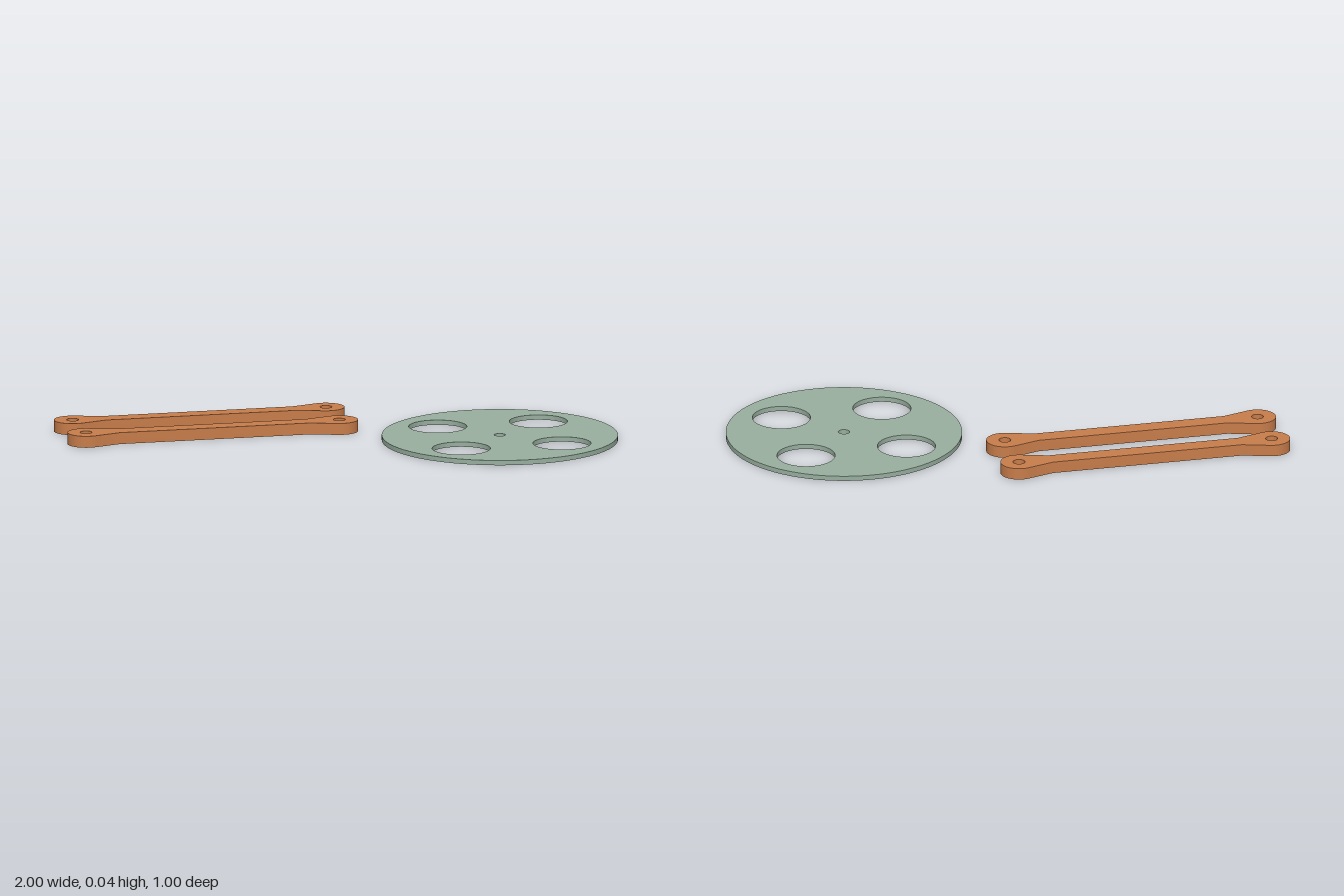
import * as THREE from 'three';
import { toCreasedNormals } from 'three/addons/utils/BufferGeometryUtils.js';

const orange = new THREE.MeshStandardMaterial({ name: 'orange', color: 0xc87d4b });
const sageGreen = new THREE.MeshStandardMaterial({ name: 'sage green', color: 0x98af9f });

// Cuts a round hole in a flat outline
function addHole(shape, x, y, radius) {
  shape.holes.push(new THREE.Path().absarc(x, y, radius, 0, Math.PI * 2, true));
}

// Raises an outline into a plate lying on the ground, with crisp rims and smooth walls
function makePlate(name, shape, height, material) {
  const geometry = new THREE.ExtrudeGeometry(shape, { depth: height, bevelEnabled: false, curveSegments: 40 });
  geometry.rotateX(-Math.PI / 2);
  const mesh = new THREE.Mesh(toCreasedNormals(geometry, 0.45), material);
  mesh.name = name;
  return mesh;
}

// Link arm: two round eyes blended by tangent tapers into a narrow bar
function linkShape() {
  const eyeX = 0.478, eyeRadius = 0.0685, barEnd = 0.358, barHalf = 0.034;
  const dx = eyeX - barEnd;
  const tangent = Math.atan2(barHalf, dx) + Math.acos(eyeRadius / Math.hypot(dx, barHalf));
  const shape = new THREE.Shape();
  shape.absarc(-eyeX, 0, eyeRadius, tangent, Math.PI * 2 - tangent, false);
  shape.lineTo(-barEnd, -barHalf);
  shape.lineTo(barEnd, -barHalf);
  shape.absarc(eyeX, 0, eyeRadius, Math.PI + tangent, Math.PI * 3 - tangent, false);
  shape.lineTo(barEnd, barHalf);
  shape.lineTo(-barEnd, barHalf);
  shape.closePath();
  for (const side of [-1, 1]) addHole(shape, side * eyeX, 0, 0.022);
  return shape;
}

// Disc with a centre bore and four large windows
function discShape() {
  const shape = new THREE.Shape().absarc(0, 0, 0.4345, 0, Math.PI * 2, false);
  addHole(shape, 0, 0, 0.021);
  for (const x of [-0.19, 0.19]) {
    for (const y of [-0.19, 0.19]) addHole(shape, x, y, 0.107);
  }
  return shape;
}

export function createModel() {
  const model = new THREE.Group();
  model.name = 'linkArmsAndDisc';

  // Pair of parallel arms
  [['backLinkArm', -0.431], ['frontLinkArm', -0.212]].forEach(([name, z]) => {
    const arm = makePlate(name, linkShape(), 0.043, orange);
    arm.position.set(-0.4535, 0, z);
    model.add(arm);
  });

  // Disc beside them
  const disc = makePlate('disc', discShape(), 0.018, sageGreen);
  disc.position.set(0.5655, 0, 0.0655);
  model.add(disc);

  return model;
}
